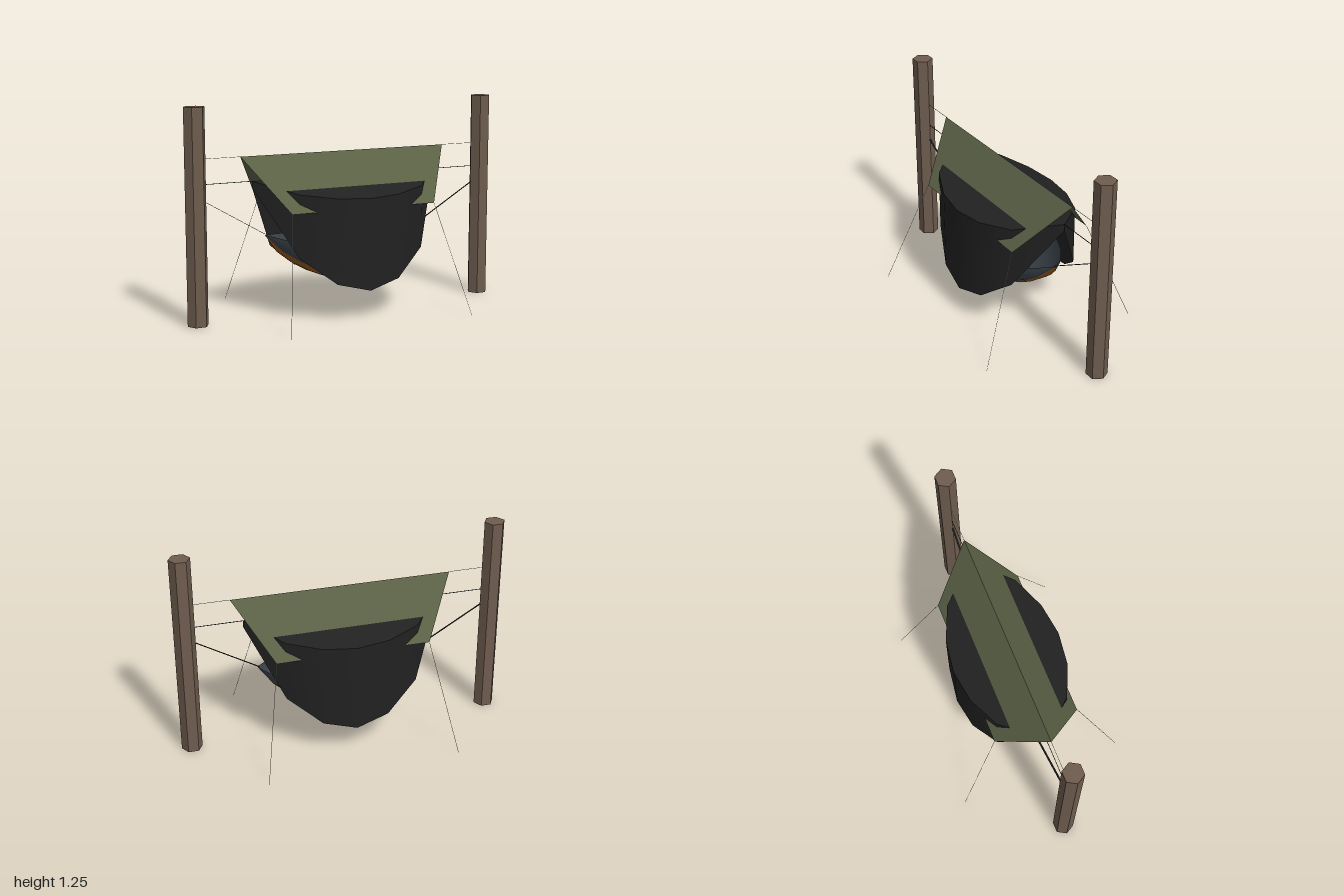
import * as THREE from 'three';

const flat = (name, color, side = THREE.FrontSide) => {
  const m = new THREE.MeshStandardMaterial({ color, side });
  m.name = name;
  return m;
};

// Open sheet from a function (row, column) -> [x, y, z]
function sheet(rows, cols, at) {
  const pos = [], idx = [];
  for (let i = 0; i <= rows; i++) {
    for (let j = 0; j <= cols; j++) {
      pos.push(...at(i, j));
      if (i < rows && j < cols) {
        const a = i * (cols + 1) + j, b = a + cols + 1;
        idx.push(a, a + 1, b, b, a + 1, b + 1);
      }
    }
  }
  const g = new THREE.BufferGeometry();
  g.setAttribute('position', new THREE.Float32BufferAttribute(pos, 3));
  g.setIndex(idx);
  g.computeVertexNormals();
  return g;
}

export function createModel() {
  const model = new THREE.Group();
  model.name = 'hammockCamp';
  const wood = flat('post wood', 0x6e5c4e);
  const olive = flat('tarp olive', 0x5a6145, THREE.DoubleSide);
  const black = flat('net black', 0x212121, THREE.DoubleSide);
  const slate = flat('hammock slate', 0x3a4249, THREE.DoubleSide);
  const orange = flat('quilt orange', 0x9a5c22, THREE.DoubleSide);
  const cord = flat('cord pale', 0xb8b2a2);
  const webbing = flat('strap dark', 0x1c2020);

  const add = (name, geometry, material) => {
    const m = new THREE.Mesh(geometry, material);
    m.name = name;
    model.add(m);
    return m;
  };
  // Thin straight line between two points; width and depth of its section
  const line = (name, a, b, material, w = 0.002, d = 0.002) => {
    const p = new THREE.Vector3(...a), q = new THREE.Vector3(...b);
    const m = add(name, new THREE.BoxGeometry(w, p.distanceTo(q), d), material);
    m.position.copy(p).add(q).multiplyScalar(0.5);
    m.quaternion.setFromUnitVectors(new THREE.Vector3(0, 1, 0), q.sub(p).normalize());
  };

  // Hexagonal posts with the lines tied to them
  for (const s of [-1, 1]) {
    const post = add(s > 0 ? 'leftPost' : 'rightPost',
      new THREE.CylinderGeometry(0.0625, 0.0625, 1.25, 6).rotateY(Math.PI / 2).toNonIndexed(), wood);
    post.geometry.computeVertexNormals();
    post.position.set(s * 0.9375, 0.625, 0);
    line('tarpRidgeLine', [s * 0.66, 0.955, 0], [s * 0.89, 0.955, 0], cord);
    line('netRidgeLine', [s * 0.59, 0.81, 0], [s * 0.89, 0.81, 0], webbing, 0.003, 0.003);
    line('hammockStrap', [s * 0.51, 0.49, 0], [s * 0.89, 0.715, 0], webbing, 0.002, 0.011);
  }

  // Tarp: two slopes, narrower at the eaves, with guy lines to the ground
  for (const s of [-1, 1]) {
    add(s > 0 ? 'tarpFront' : 'tarpBack', sheet(1, 1, (i, j) => {
      const x = (j ? 1 : -1) * (i ? 0.46 : 0.665);
      return i ? [x, 0.645, s * 0.26] : [x, 0.955, 0];
    }), olive);
    for (const e of [-1, 1]) line('guyLine', [e * 0.46, 0.645, s * 0.26], [e * 0.58, 0, s * 0.51], cord);
  }

  // Bug net: sloping roof and hanging wall on each side, tapering to the ends
  const bulge = (t, p) => Math.pow(Math.max(0, Math.sin(Math.PI * t)), p);
  for (const s of [-1, 1]) {
    const row = (j) => ({ x: 0.595 * (j / 3 - 1), w: j % 6 ? 0.333 * bulge(j / 6, 0.6) : 0 });
    add('netRoof', sheet(1, 6, (i, j) => {
      const { x, w } = row(j);
      return [x, 0.81 - (i ? 0.285 * w : 0), i ? s * w : 0];
    }), black);
    add('netWall', sheet(1, 6, (i, j) => {
      const { x, w } = row(j);
      return [x, i ? 0.77 - 1.787 * w : 0.81 - 0.285 * w, s * w];
    }), black);
  }

  // Hammock: middle cross-section shrinking towards a gathered point at each end
  const half = [[0, 0.2], [0.085, 0.206], [0.172, 0.249], [0.24, 0.348], [0.265, 0.438]];
  const section = [...half.slice(1).reverse().map(([z, y]) => [-z, y]), ...half];
  const tipY = 0.49, stations = 12;
  const cloth = (from, to, drop) => sheet(stations, to - from, (i, j) => {
    const t = i / stations, k = i % stations ? bulge(t, 0.7) : 0;
    const [z, y] = section[from + j];
    return [0.52 * (2 * t - 1), tipY + (y - tipY - drop) * k, z * k];
  });
  add('hammockBody', cloth(0, 8, 0), slate);
  // Quilt slung under the hammock
  add('underQuilt', cloth(2, 6, 0.006), orange);

  return model;
}
